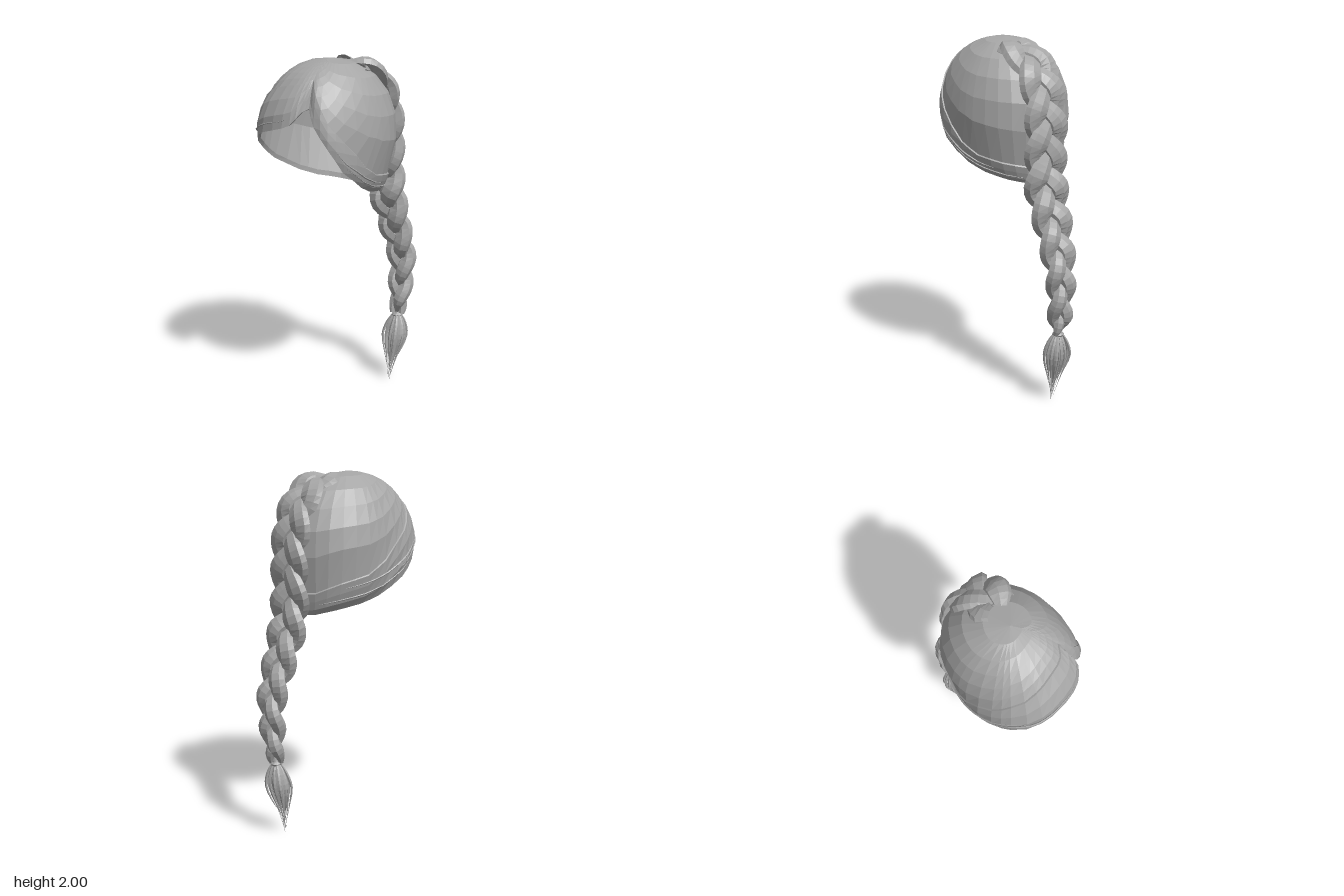
import * as THREE from 'three';

const V = (x, y, z) => new THREE.Vector3(x, y, z);
const lerp = THREE.MathUtils.lerp;
const hair = new THREE.MeshStandardMaterial({ color: 0xa6a6a6, flatShading: true, side: THREE.DoubleSide });
hair.name = 'hair grey';

// Joins equal rings of points into a skin; rings run counter-clockwise around the travel direction
function loft(rings) {
  const n = rings[0].length, pos = [], idx = [];
  rings.forEach(r => r.forEach(p => pos.push(p.x, p.y, p.z)));
  for (let i = 0; i < rings.length - 1; i++) {
    for (let j = 0; j < n; j++) {
      const k = (j + 1) % n, a = i * n + j, b = i * n + k;
      idx.push(a, b, b + n, a, b + n, a + n);
    }
  }
  const g = new THREE.BufferGeometry();
  g.setAttribute('position', new THREE.Float32BufferAttribute(pos, 3));
  g.setIndex(idx);
  g.computeVertexNormals();
  return g;
}

// Sweeps an oval along points; size(u) gives [half width, half thickness], out(u) the thickness direction
function sweep(points, size, out, sides = 7) {
  const last = points.length - 1;
  return loft(points.map((p, i) => {
    const u = i / last;
    const t = points[Math.min(i + 1, last)].clone().sub(points[Math.max(i - 1, 0)]).normalize();
    const a = out(u).clone();
    a.addScaledVector(t, -a.dot(t)).normalize();
    const b = t.clone().cross(a);
    const [w, h] = size(u);
    return Array.from({ length: sides }, (_, j) => {
      const q = j / sides * Math.PI * 2;
      return p.clone().addScaledVector(a, h * Math.cos(q)).addScaledVector(b, w * Math.sin(q));
    });
  }));
}

// Hairline around the head: [azimuth, hem height, seam position, band swell]
const hairline = [
  [-180, 1.23, 0.90, 1.00], [-155, 1.24, 0.90, 1.01], [-130, 1.27, 0.88, 1.02],
  [-106, 1.30, 0.87, 1.02], [-90, 1.34, 0.84, 1.03], [-65, 1.43, 0.74, 1.03],
  [-48, 1.51, 0.66, 1.02], [-20, 1.61, 0.58, 1.01], [0, 1.66, 0.55, 1.01],
  [15, 1.70, 0.55, 1.00], [26, 1.77, 0.57, 1.00], [30, 1.80, 0.60, 0.90],
  [38, 1.70, 0.68, 0.93], [52, 1.58, 0.80, 1.00], [67, 1.45, 0.86, 1.03],
  [90, 1.34, 0.91, 1.03], [106, 1.29, 0.92, 1.02], [130, 1.26, 0.92, 1.02],
  [155, 1.24, 0.92, 1.01], [180, 1.23, 0.90, 1.00],
];
function hairlineAt(deg) {
  let i = 0;
  while (i < hairline.length - 2 && deg > hairline[i + 1][0]) i++;
  const a = hairline[i], b = hairline[i + 1], f = (deg - a[0]) / (b[0] - a[0]);
  return a.map((v, k) => lerp(v, b[k], f));
}

// Point on the head: t runs from the crown (0) to the hem (1).
// The plan is fuller at the front, and the sides tuck in towards the nape.
function headPoint(deg, t, scale) {
  const y = hairlineAt(deg)[1] - 1.6;
  const polar = Math.acos(y / (y > 0 ? 0.4 : 0.65)) * t;
  const c = Math.cos(polar), s = Math.sin(polar), q = THREE.MathUtils.degToRad(deg);
  const wide = c > 0 ? s ** 0.86 : Math.sqrt(1 - (c * 0.65 / 0.425) ** 2);
  const sx = Math.sin(q), plan = Math.sign(sx) * Math.abs(sx) ** (Math.cos(q) > 0 ? 0.75 : 0.95);
  return V(0.322 * wide * plan * scale, 1.6 + c * (c > 0 ? 0.4 : 0.65) * scale,
    0.1 + 0.395 * s ** 0.94 * Math.cos(q) * scale);
}

function capGeometry() {
  const azimuths = [];
  for (let i = 0; i < hairline.length - 1; i++) {
    azimuths.push(hairline[i][0], (hairline[i][0] + hairline[i + 1][0]) / 2);
  }
  azimuths.reverse();
  const row = f => azimuths.map(d => {
    const [, , seam, swell] = hairlineAt(d);
    const [t, scale] = f(seam, swell);
    return headPoint(d, t, scale);
  });
  const rows = [];
  // Smooth dome down to the seam
  [0.001, 0.18, 0.36, 0.52, 0.68, 0.84, 1].forEach(k => rows.push(row(s => [s * k, lerp(1, 0.985, k ** 4)])));
  // Raised band from seam to hem
  [0.02, 0.35, 0.7].forEach(k => rows.push(row((s, w) => [lerp(s, 1, k), lerp(1.005, w + 0.01, Math.min(1, k * 1.5))])));
  rows.push(row((s, w) => [1, w - 0.005]));
  // Rolled hem and lining
  rows.push(row((s, w) => [0.985, w - 0.045]));
  [0.8, 0.6, 0.4, 0.2, 0.001].forEach(k => rows.push(row((s, w) => [k, Math.min(w - 0.045, 0.96)])));
  return loft(rows);
}

export function createModel() {
  const model = new THREE.Group();
  const add = (name, geometry, parent = model) => {
    const m = new THREE.Mesh(geometry, hair);
    m.name = name;
    parent.add(m);
    return m;
  };
  const group = name => {
    const g = new THREE.Group();
    g.name = name;
    model.add(g);
    return g;
  };

  add('hairCap', capGeometry());

  // Fine loose hairs along the band
  const wisps = group('looseHairs');
  [[-150, -60, 0.95], [-125, -35, 0.9], [-70, 10, 0.93], [58, 120, 0.95], [70, 150, 0.97]].forEach(([a, b, t]) => {
    const pts = Array.from({ length: 13 }, (_, i) => {
      const d = lerp(a, b, i / 12);
      return headPoint(d, t, hairlineAt(d)[3] + 0.006);
    });
    add('looseHair', sweep(pts, u => { const r = 0.001 + 0.004 * Math.sin(Math.PI * u); return [r, r]; }, () => V(0, 1, 0.01), 4), wisps);
  });

  // Three-strand braid, flat and wide on the head, rounder where it hangs free
  const spine = new THREE.CatmullRomCurve3([
    V(0.05, 1.967, -0.01), V(0.04, 1.93, -0.12), V(0.03, 1.815, -0.235), V(0.03, 1.6, -0.29),
    V(0.03, 1.4, -0.29), V(0.03, 1.22, -0.295), V(0.03, 1.0, -0.36), V(0.035, 0.78, -0.42),
    V(0.03, 0.6, -0.42), V(0.028, 0.42, -0.4),
  ]);
  const outward = u => V(1, 0, 0).cross(spine.getTangentAt(u)).normalize();
  const turns = 3.2, steps = 72;
  const fall = u => THREE.MathUtils.clamp((u - 0.5) / 0.5, 0, 1);
  const braid = group('braid');
  for (let k = 0; k < 3; k++) {
    const phase = u => 2 * Math.PI * (u * turns + k / 3);
    const pts = Array.from({ length: steps + 1 }, (_, i) => {
      const u = i / steps, f = fall(u), p = phase(u);
      const side = lerp(0.076, 0.028, f), depth = lerp(0.017, lerp(0.034, 0.018, f), THREE.MathUtils.smoothstep(u, 0.4, 0.55));
      return spine.getPointAt(u).add(V(side * Math.sin(p), 0, 0))
        .addScaledVector(outward(u), depth * Math.sin(2 * p));
    });
    const size = u => {
      const f = fall(u), swell = 0.78 + 0.25 * Math.abs(Math.sin(phase(u)));
      const end = Math.min(1, 0.65 + u * 12, 0.4 + (1 - u) * 12);
      const thick = lerp(0.034, lerp(0.044, 0.038, f), THREE.MathUtils.smoothstep(u, 0.4, 0.55));
      return [lerp(0.068, 0.038, f) * swell * end, thick * swell * end];
    };
    add('braidStrand', sweep(pts, size, outward), braid);
  }

  // Band tying the braid
  const tie = add('hairTie', new THREE.TorusGeometry(0.022, 0.011, 5, 12));
  tie.rotation.x = Math.PI / 2;
  tie.position.set(0.028, 0.415, -0.4);

  // Loose tuft below the tie
  const tuft = group('tuft');
  const lock = (angle, reach, tipY, r) => {
    const cx = Math.cos(angle) * reach, cz = Math.sin(angle) * reach * 0.75;
    const path = new THREE.CatmullRomCurve3([
      V(0.028 + cx * 0.2, 0.43, -0.4 + cz * 0.2), V(0.028 + cx * 0.75, 0.36, -0.395 + cz * 0.75),
      V(0.026 + cx, 0.28, -0.385 + cz), V(0.024 + cx * 0.6, 0.17, -0.365 + cz * 0.6),
      V(0.022 + cx * 0.12, tipY, -0.343 + cz * 0.12 - tipY * 0.08),
    ]);
    add('tuftLock', sweep(path.getPoints(12), u => {
      const w = r * (0.3 + Math.sin(Math.PI * Math.min(u * 1.1, 1))) * (1 - u * 0.75);
      return [w, w * 0.7];
    }, () => V(Math.cos(angle), 0.01, Math.sin(angle)), 5), tuft);
  };
  for (let i = 0; i < 13; i++) lock(i / 13 * Math.PI * 2, 0.066 + 0.008 * (i % 3), 0.03 + 0.025 * (i * 5 % 4), 0.013);
  for (let i = 0; i < 6; i++) lock(i / 6 * Math.PI * 2 + 0.3, 0.032, i * 0.015, 0.018);

  return model;
}
